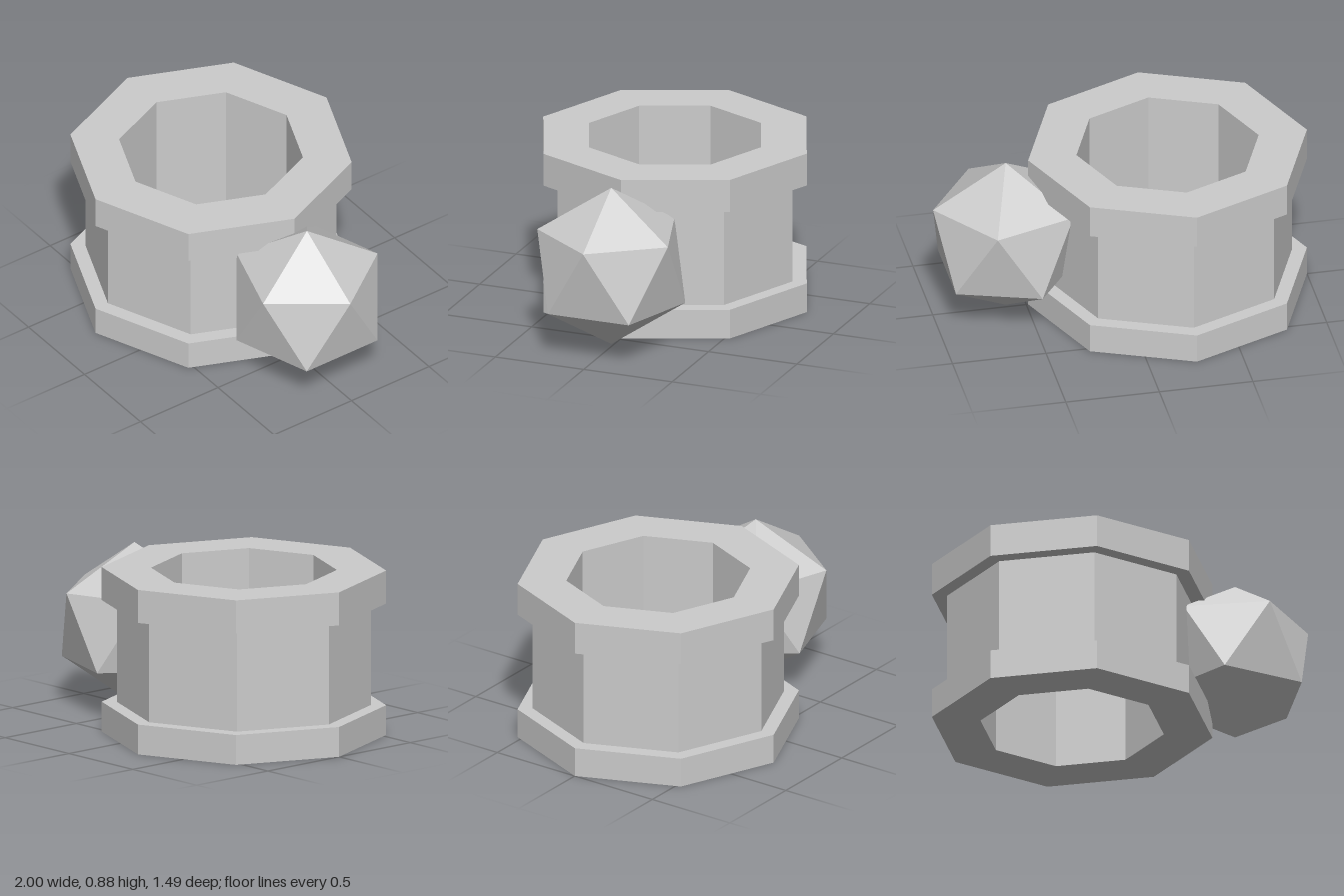
import * as THREE from 'three';

export function createModel() {
  const group = new THREE.Group();
  const material = new THREE.MeshStandardMaterial({ color: 0xcccccc, flatShading: true });

  // Hollow eight-sided spool: closed wall profile with a flange at each end
  const bore = 0.487, wall = 0.665, flange = 0.745;
  const profile = [
    [bore, 0], [flange, 0], [flange, 0.16], [wall, 0.16],
    [wall, 0.705], [flange, 0.705], [flange, 0.882], [bore, 0.882], [bore, 0],
  ].map(([r, y]) => new THREE.Vector2(r, y));
  const spool = new THREE.Mesh(new THREE.LatheGeometry(profile, 8), material);
  spool.name = 'octagonalSpool';
  spool.position.x = -0.255;
  group.add(spool);

  // Twenty-sided knob standing on a vertex, sunk into the spool's left side
  const knobGeometry = new THREE.IcosahedronGeometry(0.434, 0);
  knobGeometry.rotateZ(-Math.atan(2 / (1 + Math.sqrt(5))));
  const knob = new THREE.Mesh(knobGeometry, material);
  knob.name = 'facetedKnob';
  knob.position.set(0.609, 0.444, 0.005);
  group.add(knob);

  return group;
}
